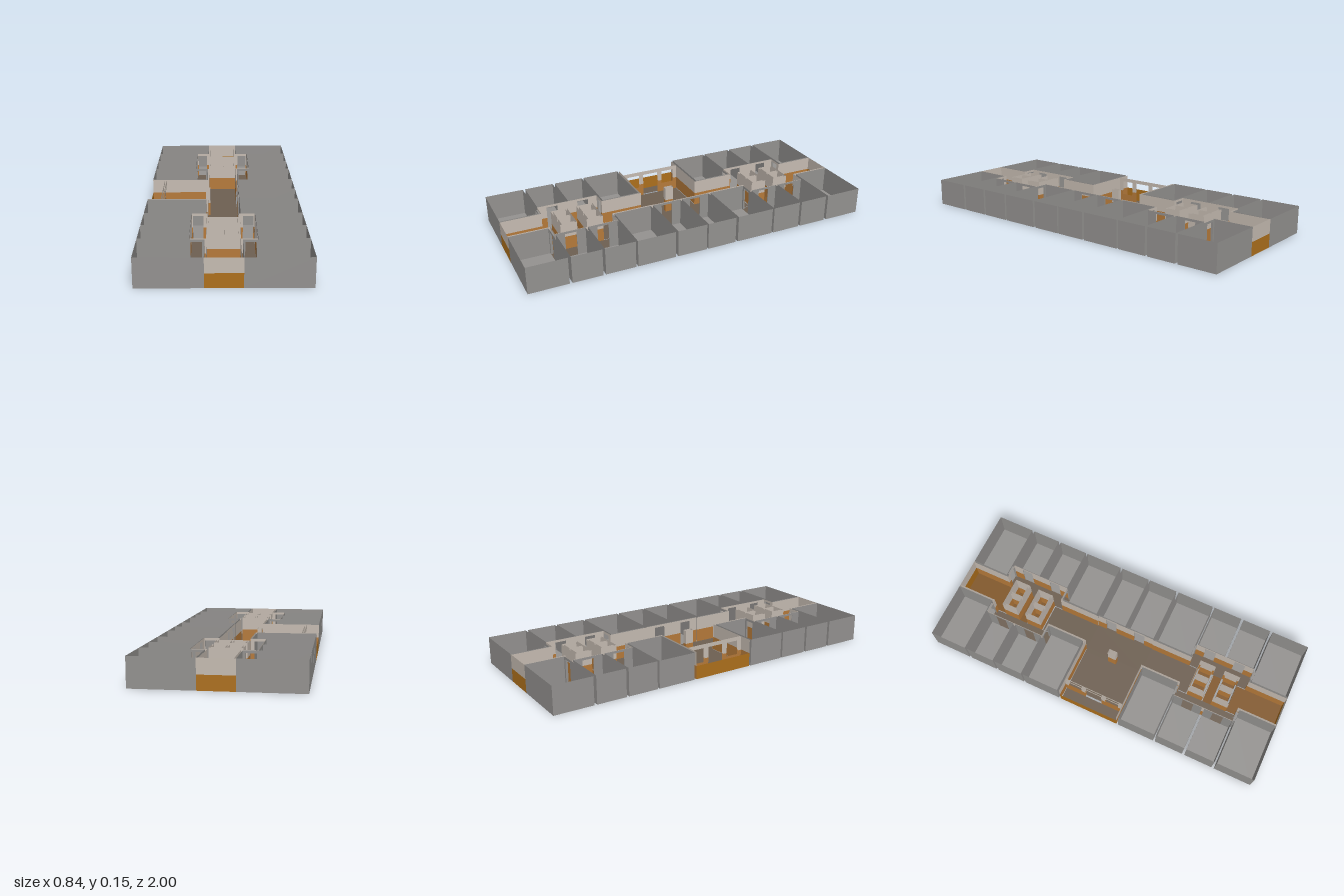
import * as THREE from 'three';

const H = 0.153, DADO = 0.075, DOOR = 0.14;

const mat = (name, color) => {
  const m = new THREE.MeshStandardMaterial({ color, side: THREE.DoubleSide });
  m.name = name;
  return m;
};

export function createModel() {
  const grey = mat('room grey', 0x949290);
  const cream = mat('upper wall cream', 0xc6bcb2);
  const orange = mat('dark orange', 0xae701c);
  const tan = mat('tan orange', 0xb67a3a);
  const brown = mat('corridor floor brown', 0x82582a);
  const taupe = mat('lobby floor taupe', 0x6e6052);

  const plain = [[0, H, grey]];
  const painted = [[0, DADO, tan], [DADO, H, cream]];
  const endPaint = [[0, DADO, orange], [DADO, H, cream]];

  const model = new THREE.Group();
  model.name = 'floorPlan';
  const group = (name) => {
    const g = new THREE.Group();
    g.name = name;
    model.add(g);
    return g;
  };

  // Horizontal sheet between two corners
  function floor(parent, name, x0, x1, z0, z1, material, y = 0) {
    const g = new THREE.PlaneGeometry(Math.abs(x1 - x0), Math.abs(z1 - z0)).rotateX(-Math.PI / 2);
    g.translate((x0 + x1) / 2, y, (z0 + z1) / 2);
    const m = new THREE.Mesh(g, material);
    m.name = name;
    parent.add(m);
  }

  // Upright sheet from (ax, az) to (bx, bz) in colour bands; an opening is
  // [start, end, sill, head], measured along the wall
  function wall(parent, name, ax, az, bx, bz, bands, openings = []) {
    const len = Math.hypot(bx - ax, bz - az);
    const piece = (s0, s1, y0, y1, material) => {
      if (s1 - s0 < 1e-4 || y1 - y0 < 1e-4) return;
      const g = new THREE.PlaneGeometry(s1 - s0, y1 - y0);
      g.translate((s0 + s1) / 2, (y0 + y1) / 2, 0);
      g.rotateY(-Math.atan2(bz - az, bx - ax));
      g.translate(ax, 0, az);
      const m = new THREE.Mesh(g, material);
      m.name = name;
      parent.add(m);
    };
    for (const [y0, y1, material] of bands) {
      let s = 0;
      for (const [o0, o1, sill, head] of openings) {
        piece(s, o0, y0, y1, material);
        piece(o0, o1, y0, Math.min(sill, y1), material);
        piece(o0, o1, Math.max(head, y0), y1, material);
        s = o1;
      }
      piece(s, len, y0, y1, material);
    }
  }

  // Four walls around a rectangle
  function ring(parent, name, x0, x1, z0, z1, bands) {
    wall(parent, name, x0, z0, x1, z0, bands);
    wall(parent, name, x1, z0, x1, z1, bands);
    wall(parent, name, x1, z1, x0, z1, bands);
    wall(parent, name, x0, z1, x0, z0, bands);
  }

  // Grey lining of a doorway through the gap between two walls
  function lining(parent, x0, x1, z0, z1, alongX) {
    const band = [[0, DOOR, grey]];
    if (alongX) {
      wall(parent, 'doorJamb', x0, z0, x0, z1, band);
      wall(parent, 'doorJamb', x1, z0, x1, z1, band);
    } else {
      wall(parent, 'doorJamb', x0, z0, x1, z0, band);
      wall(parent, 'doorJamb', x0, z1, x1, z1, band);
    }
    floor(parent, 'doorHead', x0, x1, z0, z1, grey, DOOR);
    floor(parent, 'threshold', x0, x1, z0, z1, taupe);
  }

  // Rooms: z range, inner x, and which wall holds the door
  const rooms = [
    [0.783, 1, 0.092, 'near'],
    [0.602, 0.768, 0.168, 'inner'],
    [0.42, 0.588, 0.168, 'inner'],
    [0.19, 0.408, 0.092, 'far'],
    [0.005, 0.175, 0.092, 'inner'],
  ];
  for (const sx of [1, -1]) for (const sz of [1, -1]) {
    rooms.forEach(([z0, z1, x0, door], i) => {
      if (sx < 0 && i === 4) return;
      const g = group('room');
      const X = 0.42, w = z1 - z0;
      const side = [[0.012, 0.068, 0, DOOR]];
      const inner = [[w / 2 - 0.032, w / 2 + 0.032, 0, DOOR]];
      floor(g, 'roomFloor', sx * x0, sx * X, sz * z0, sz * z1, grey);
      wall(g, 'roomWall', sx * X, sz * z0, sx * X, sz * z1, plain);
      wall(g, 'roomWall', sx * x0, sz * z0, sx * X, sz * z0, plain, door === 'near' ? side : []);
      wall(g, 'roomWall', sx * x0, sz * z1, sx * X, sz * z1, plain, door === 'far' ? side : []);
      wall(g, 'roomWall', sx * x0, sz * z0, sx * x0, sz * z1, plain, door === 'inner' ? inner : []);
      if (door === 'near') lining(g, sx * 0.104, sx * 0.16, sz * 0.77, sz * z0, true);
      if (door === 'far') lining(g, sx * 0.104, sx * 0.16, sz * z1, sz * 0.418, true);
      if (door === 'inner') {
        const c = (z0 + z1) / 2;
        lining(g, sx * (i === 4 ? 0.085 : 0.165), sx * x0, sz * (c - 0.032), sz * (c + 0.032), false);
      }
    });

    // Painted corridor and lobby walls
    const c = group('corridorWalls');
    const line = (ax, az, bx, bz, o) =>
      wall(c, 'corridorWall', sx * ax, sz * az, sx * bx, sz * bz, painted, o);
    line(0.082, 0.77, 0.082, 0.999);
    line(0.082, 0.175, 0.082, 0.418);
    if (sx > 0) line(0.085, 0, 0.085, 0.175, [[0.058, 0.122, 0, DOOR]]);
    for (const z of [0.77, 0.418]) line(0.082, z, 0.165, z, [[0.022, 0.078, 0, DOOR]]);
    line(0.165, 0.418, 0.165, 0.77, [[0.054, 0.118, 0, DOOR], [0.235, 0.299, 0, DOOR]]);
    floor(c, 'lobbyFloor', sx * 0.086, sx * 0.165, sz * 0.418, sz * 0.77, taupe);
  }

  // Corridor ends, floors and lift shafts
  for (const sz of [1, -1]) {
    const e = group('corridorEnd');
    wall(e, 'endWall', -0.092, sz, 0.092, sz, endPaint);
    floor(e, 'endFloor', -0.082, 0.082, sz * 0.716, sz, brown);
    floor(e, 'liftLobbyFloor', -0.086, 0.086, sz * 0.572, sz * 0.622, brown);
    floor(e, 'corridorFloor', -0.082, 0.082, sz * 0.175, sz * 0.468, taupe);
    for (const z of [0.52, 0.669]) {
      const s = group('liftShafts');
      ring(s, 'shaftWall', -0.086, 0.086, sz * (z - 0.047), sz * (z + 0.047), painted);
      for (const sx of [1, -1]) {
        const x0 = sx * 0.006, x1 = sx * 0.075, z0 = sz * (z - 0.036), z1 = sz * (z + 0.036);
        ring(s, 'liftWall', x0, x1, z0, z1, painted);
        floor(s, 'liftFloor', x0, x1, z0, z1, brown);
      }
    }
  }

  // Open lounge with a pillar, window wall and balcony
  const l = group('lounge');
  floor(l, 'corridorFloor', -0.073, 0.085, -0.175, 0.175, taupe);
  floor(l, 'loungeFloor', -0.338, -0.097, -0.175, 0.175, taupe);
  floor(l, 'balconyFloor', -0.42, -0.348, -0.175, 0.175, taupe);
  ring(l, 'pillar', -0.097, -0.073, -0.028, 0.022, painted);
  floor(l, 'loungeFloor', -0.097, -0.073, -0.175, -0.028, taupe);
  floor(l, 'loungeFloor', -0.097, -0.073, 0.022, 0.175, taupe);
  for (const sz of [1, -1]) {
    wall(l, 'loungeWall', -0.42, sz * 0.178, -0.082, sz * 0.178, painted);
  }
  const windows = [[0.02, 0.1, 0.05, 0.135], [0.125, 0.225, 0, 0.135], [0.25, 0.33, 0.05, 0.135]];
  for (const x of [-0.348, -0.338]) wall(l, 'windowWall', x, -0.175, x, 0.175, painted, windows);
  wall(l, 'balconyParapet', -0.42, -0.178, -0.42, 0.178, [[0, DADO, orange]]);

  return model;
}
